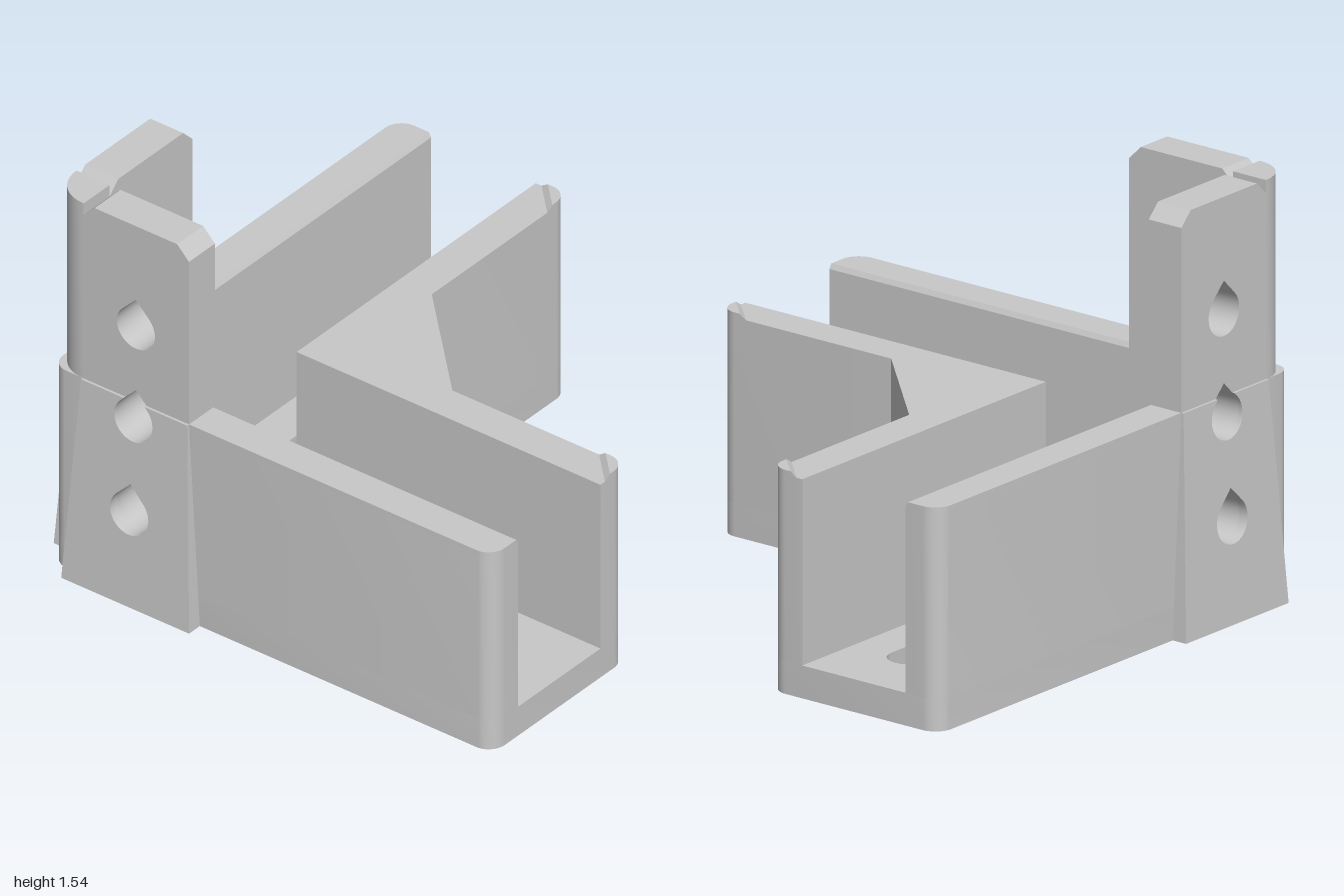
import * as THREE from 'three';
import { toCreasedNormals } from 'three/addons/utils/BufferGeometryUtils.js';

const grey = new THREE.MeshStandardMaterial({ color: 0xc8c8c8 });
grey.name = 'light grey plastic';

// Closed path from [x, y, radius] corners, radius optional
function roundedPath(points, PathType = THREE.Shape) {
  const path = new PathType();
  const n = points.length;
  points.forEach(([x, y, r = 0], i) => {
    const toward = ([px, py], d) => {
      const len = Math.hypot(px - x, py - y);
      return [x + ((px - x) * d) / len, y + ((py - y) * d) / len];
    };
    const prev = points[(i + n - 1) % n];
    const next = points[(i + 1) % n];
    const start = toward(prev, r);
    if (i === 0) path.moveTo(...start);
    else path.lineTo(...start);
    if (r) path.bezierCurveTo(...toward(prev, r * 0.448), ...toward(next, r * 0.448), ...toward(next, r));
  });
  path.closePath();
  return path;
}

function extrude(shape, depth) {
  return new THREE.ExtrudeGeometry(shape, { depth, bevelEnabled: false, curveSegments: 12 });
}

function makeMesh(name, geometry) {
  geometry.deleteAttribute('uv');
  geometry.computeVertexNormals();
  const mesh = new THREE.Mesh(toCreasedNormals(geometry, 0.5), grey);
  mesh.name = name;
  return mesh;
}

// Plan outline (x, -z) raised from y0 to y1; swap mirrors it onto the other arm,
// bevel moves the upper corners
function slab(name, points, y0, y1, { swap = false, bevel = null, hole = null } = {}) {
  const shape = roundedPath(points.map(([a, b, r]) => (swap ? [b, a, r] : [a, b, r])));
  if (hole) shape.holes.push(roundedPath(hole, THREE.Path));
  const geo = extrude(shape, y1 - y0);
  const p = geo.attributes.position;
  if (bevel) {
    for (let i = 0; i < p.count; i++) {
      if (p.getZ(i) < (y1 - y0) / 2) continue;
      const at = swap ? [p.getY(i), p.getX(i)] : [p.getX(i), p.getY(i)];
      const [a, b] = bevel(...at);
      p.setXY(i, swap ? b : a, swap ? a : b);
    }
  }
  geo.rotateX(-Math.PI / 2).translate(0, y0, 0);
  return makeMesh(name, geo);
}

const near = (a, b) => Math.abs(a - b) < 1e-4;
const BASE = 0.12, STEP = 0.8, RIM = 0.818, TOP = 1.545;
const HOLE_R = 0.084, HOLES = [0.37, 0.745, 1.12];

// Teardrop hole with a 45 degree peak
function teardrop(cy) {
  const path = new THREE.Path();
  const k = HOLE_R * Math.SQRT1_2;
  path.moveTo(0, cy + 2 * k);
  path.lineTo(-k, cy + k);
  path.absarc(0, cy, HOLE_R, Math.PI * 0.75, Math.PI * 2.25, false);
  path.closePath();
  return path;
}

// Upright plate with three holes and a tapered pad on its lower outside
function mountingSide(name) {
  const group = new THREE.Group();
  group.name = name;
  const w = 0.2335, c = 0.052;
  const plate = roundedPath([[-w, BASE], [w, BASE], [w, TOP - c], [w - c, TOP], [c - w, TOP], [-w, TOP - c]]);
  plate.holes.push(...HOLES.map(teardrop));
  group.add(makeMesh('mountingPlate', extrude(plate, 0.145).translate(0, 0, -0.145)));

  // The middle hole breaks through the pad's upper edge
  const pad = new THREE.Shape();
  const gap = HOLE_R * Math.SQRT2 - (RIM - HOLES[1]);
  pad.moveTo(-0.281, 0);
  pad.lineTo(0.281, 0);
  pad.lineTo(w, RIM);
  pad.lineTo(gap, RIM);
  pad.absarc(0, HOLES[1], HOLE_R, Math.PI * 0.25, Math.PI * 0.75, true);
  pad.lineTo(-gap, RIM);
  pad.lineTo(-w, RIM);
  pad.closePath();
  pad.holes.push(teardrop(HOLES[0]));
  const geo = extrude(pad, 1);
  const p = geo.attributes.position;
  for (let i = 0; i < p.count; i++) {
    p.setZ(i, p.getZ(i) * (0.01 + 0.05 * (1 - p.getY(i) / RIM)));
  }
  group.add(makeMesh('taperedPad', geo));
  return group;
}

export function createModel() {
  const model = new THREE.Group();
  model.name = 'cornerBracket';
  const R = 0.07, S = 0.076;

  // Floor with an L-shaped slot
  model.add(slab('floor', [
    [-0.94, -0.94, R], [1, -0.94, R], [1, -0.19, R], [0.235, -0.19],
    [-0.19, 0.235], [-0.19, 1, R], [-0.94, 1, R],
  ], 0, BASE, {
    hole: [[-0.645, -0.642, S], [0.775, -0.642, S], [0.775, -0.488, S],
      [-0.488, -0.488], [-0.488, 0.775, S], [-0.642, 0.775, S]],
  }));

  // Inner wall with a chamfered inside corner
  model.add(slab('innerWall', [
    [1, -0.335], [1, -0.19, R], [0.235, -0.19], [-0.19, 0.235],
    [-0.19, 1, R], [-0.335, 1], [-0.335, -0.335],
  ], BASE, STEP));

  // Outer walls, their sloped lips and the raised tips of the inner wall
  for (const swap of [false, true]) {
    const side = swap ? 'back' : 'left';
    const wall = [[-0.333, -0.795], [-0.333, -0.94], [1, -0.94, R], [1, -0.795]];
    model.add(slab(side + 'OuterWall', wall, BASE, STEP, { swap }));
    model.add(slab(side + 'WallLip', wall, STEP, RIM, {
      swap, bevel: (a, b) => [a, near(b, -0.795) ? -0.805 : b],
    }));
    model.add(slab(side + 'WallTip', [[0.88, -0.19], [1, -0.31], [1, -0.19, R]], STEP, RIM, {
      swap, bevel: (a, b) => [near(a, 0.88) ? 0.908 : a, near(b, -0.31) ? -0.282 : b],
    }));
  }

  // Corner post, more rounded above the rim
  const post = (r) => [[-0.94, -0.94, r], [-0.795, -0.94], [-0.795, -0.795], [-0.94, -0.795]];
  model.add(slab('cornerPostLower', post(R), BASE, RIM));
  model.add(slab('cornerPostUpper', post(0.14), RIM, TOP));

  // Drilled uprights on the two outer faces
  const front = mountingSide('frontMount');
  front.position.set(-0.5655, 0, 0.94);
  const right = mountingSide('rightMount');
  right.position.set(-0.94, 0, 0.5655);
  right.rotation.y = -Math.PI / 2;
  model.add(front, right);
  return model;
}
